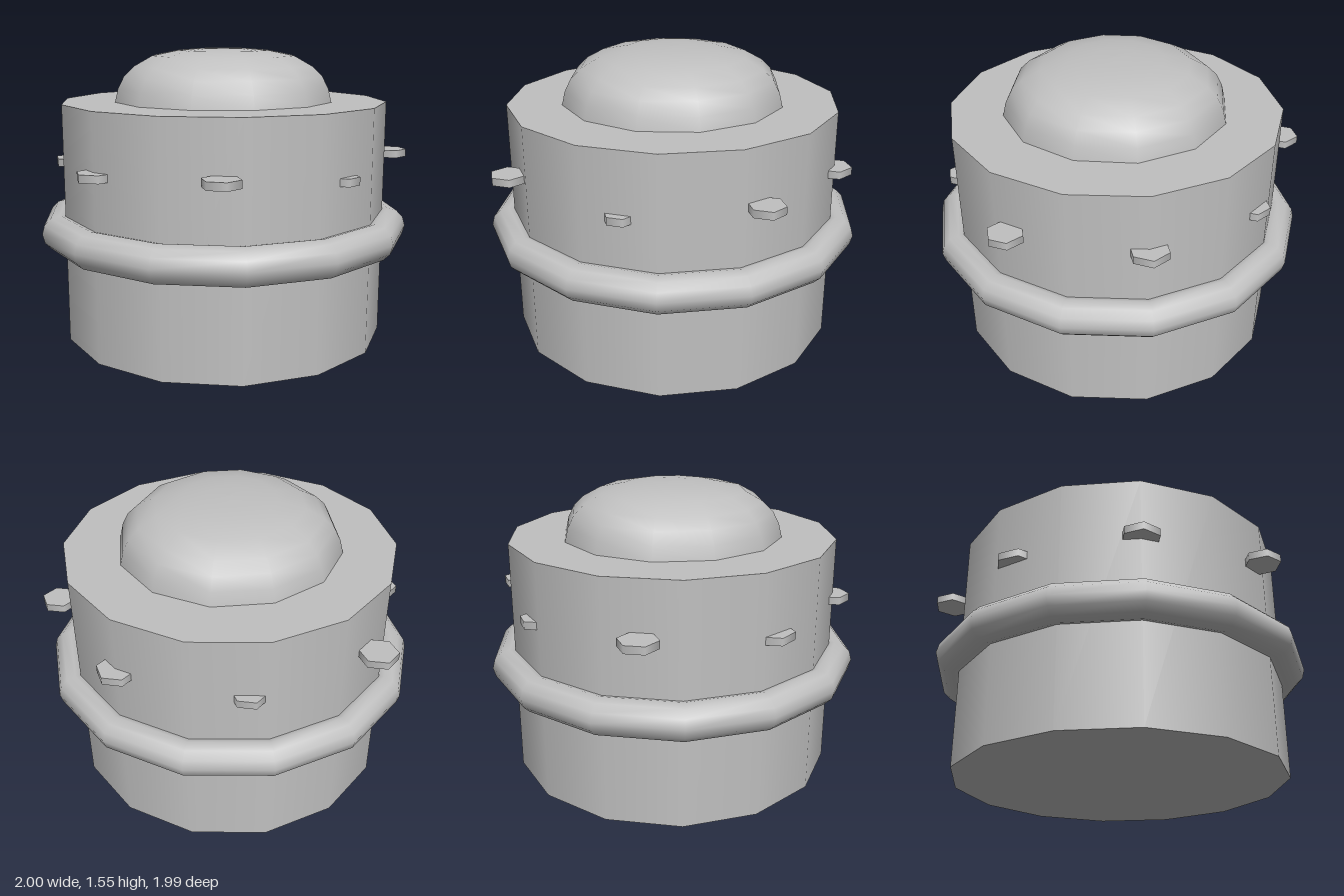
import * as THREE from 'three';

export function createModel() {
  const model = new THREE.Group();
  const grey = new THREE.MeshStandardMaterial({ color: 0xc0c0c0 });
  grey.name = 'plain grey';
  const axisZ = 0.015; // the body axis sits slightly forward

  const add = (name, geometry, x, y, z) => {
    const mesh = new THREE.Mesh(geometry, grey);
    mesh.name = name;
    mesh.position.set(x, y, z);
    model.add(mesh);
  };

  // Fourteen-sided drum with a corner on each side
  const drum = new THREE.CylinderGeometry(0.875, 0.875, 1.27, 14);
  drum.rotateY(Math.PI / 2);
  add('drum', drum, 0, 0.635, axisZ);

  // Rounded band around the middle
  const band = new THREE.TorusGeometry(0.904, 0.096, 12, 14);
  band.rotateX(-Math.PI / 2);
  add('band', band, 0, 0.595, axisZ);

  // Flattened twelve-sided dome
  const profile = [
    [0.59, 0], [0.573, 0.07], [0.54, 0.135], [0.486, 0.187],
    [0.39, 0.24], [0.25, 0.268], [0.12, 0.278], [0, 0.28],
  ].map(([r, y]) => new THREE.Vector2(r, y));
  add('dome', new THREE.LatheGeometry(profile, 12), 0, 1.27, axisZ);

  // Thin hexagonal studs around the drum: x, y, z, radius
  const studs = [
    [0, 0.99, -0.915, 0.1],
    [0, 0.935, 0.84, 0.08],
    [0.865, 0.962, 0.015, 0.1],
    [-0.86, 0.957, 0.015, 0.1],
    [-0.655, 0.985, 0.665, 0.095],
    [0.648, 0.983, 0.657, 0.093],
    [-0.58, 0.935, -0.56, 0.112],
    [0.58, 0.94, -0.57, 0.092],
  ];
  for (const [x, y, z, r] of studs) {
    const stud = new THREE.CylinderGeometry(r, r, 0.04, 6);
    stud.rotateY(Math.PI / 2);
    add('stud', stud, x, y, z);
  }

  return model;
}
